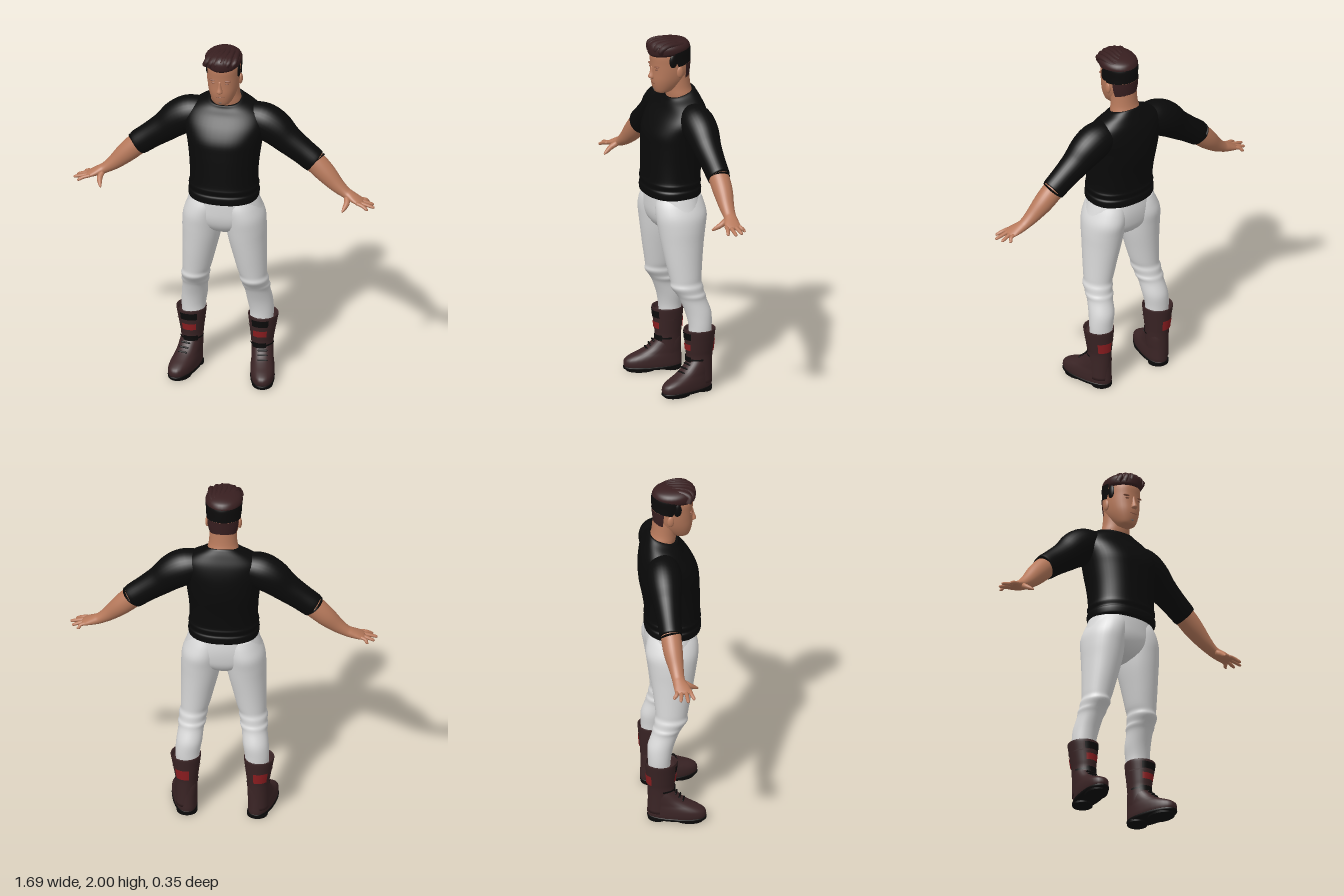
import * as THREE from 'three';

const mat = (name, color, side = THREE.FrontSide) => {
  const m = new THREE.MeshStandardMaterial({ color, side });
  m.name = name;
  return m;
};

// Smooth skin over cross-sections [x, y, z, halfWidth, halfDepth, forwardSlope].
// Rings lie flat, or square to the path when `along` is set. `arc` limits the angle (front = PI / 2).
function loft(sections, { along = false, arc = null, n = 2, seg = 32, steps = 4 } = {}) {
  const spline = (f) => new THREE.CatmullRomCurve3(sections.map(f), false, 'catmullrom', 0.5);
  const centre = spline((s) => new THREE.Vector3(s[0], s[1], s[2]));
  const size = spline((s) => new THREE.Vector3(s[3], s[4], s[5] || 0));
  const rows = (sections.length - 1) * steps, cols = arc ? seg + 1 : seg;
  const [a0, a1] = arc || [0, Math.PI * 2];
  const pos = [], index = [];
  const bend = (v) => Math.sign(v) * Math.abs(v) ** (2 / n);
  for (let i = 0; i <= rows; i++) {
    const c = centre.getPoint(i / rows), r = size.getPoint(i / rows);
    const t = along ? centre.getTangent(i / rows) : new THREE.Vector3(0, 1, 0);
    const v = new THREE.Vector3(0, 0, 1).addScaledVector(t, -t.z).normalize();
    const u = t.clone().cross(v);
    for (let j = 0; j < cols; j++) {
      const a = a0 + (a1 - a0) * j / seg;
      const du = r.x * bend(Math.cos(a)), dv = r.y * bend(Math.sin(a));
      const p = c.clone().addScaledVector(u, du).addScaledVector(v, dv);
      pos.push(p.x, p.y - r.z * dv, p.z);
    }
  }
  for (let i = 0; i < rows; i++) for (let j = 0; j < seg; j++) {
    const k = (j + 1) % cols, a = i * cols + j, b = i * cols + k;
    index.push(a, a + cols, b, b, a + cols, b + cols);
  }
  if (!arc) for (const end of [0, 1]) {
    const c = centre.getPoint(end), id = pos.length / 3, base = end * rows * cols;
    pos.push(c.x, c.y, c.z);
    for (let j = 0; j < cols; j++) {
      const a = base + j, b = base + (j + 1) % cols;
      index.push(id, ...(end ? [b, a] : [a, b]));
    }
  }
  const g = new THREE.BufferGeometry();
  g.setAttribute('position', new THREE.Float32BufferAttribute(pos, 3));
  g.setIndex(index);
  g.computeVertexNormals();
  return g;
}

function ball(x, y, z, rx, ry, rz) {
  return new THREE.SphereGeometry(1, 20, 14).scale(rx, ry, rz).translate(x, y, z);
}

function mirrored(geometry) {
  const g = geometry.clone().scale(-1, 1, 1);
  const ix = g.index.array;
  for (let i = 0; i < ix.length; i += 3) [ix[i + 1], ix[i + 2]] = [ix[i + 2], ix[i + 1]];
  g.computeVertexNormals();
  return g;
}

export function createModel() {
  const model = new THREE.Group();
  model.name = 'man';
  const skin = mat('skin', 0xb87a5c), cloth = mat('black cloth', 0x0a0a0a);
  const white = mat('white trousers', 0xdadada), leather = mat('brown leather', 0x3a2425);
  const black = mat('black', 0x0c0b0b, THREE.DoubleSide), red = mat('red patch', 0x8c1d20, THREE.DoubleSide);
  const hair = mat('brown hair', 0x381f20, THREE.DoubleSide), grey = mat('grey stubble', 0x7c7774);
  const shade = mat('brow skin', 0x8f5a45);

  const add = (name, geometry, material) => {
    const m = new THREE.Mesh(geometry, material);
    m.name = name;
    model.add(m);
  };
  const pair = (name, geometry, material) => {
    add(name + 'Left', geometry, material);
    add(name + 'Right', mirrored(geometry), material);
  };

  // Sweater body, with folds at the hem and a collar lower at the front
  add('sweater', loft([
    [0, 1.105, 0.01, 0.186, 0.148], [0, 1.115, 0.01, 0.193, 0.155], [0, 1.145, 0.01, 0.195, 0.156],
    [0, 1.16, 0.01, 0.188, 0.151], [0, 1.185, 0.01, 0.193, 0.155], [0, 1.21, 0.01, 0.187, 0.152],
    [0, 1.3, 0.003, 0.189, 0.157], [0, 1.4, -0.008, 0.2, 0.165], [0, 1.47, -0.014, 0.212, 0.164],
    [0, 1.54, -0.03, 0.228, 0.145], [0, 1.6, -0.045, 0.215, 0.118, 0.05], [0, 1.64, -0.045, 0.168, 0.1, 0.15],
    [0, 1.665, -0.043, 0.12, 0.088, 0.25], [0, 1.68, -0.04, 0.092, 0.08, 0.3], [0, 1.675, -0.04, 0.08, 0.068, 0.3],
  ], { n: 2.3, seg: 48 }), cloth);

  // Arms
  pair('sleeve', loft([
    [0.12, 1.575, -0.055, 0.075, 0.08], [0.2, 1.55, -0.055, 0.1, 0.095], [0.27, 1.51, -0.055, 0.1, 0.092],
    [0.34, 1.45, -0.052, 0.084, 0.078], [0.42, 1.39, -0.05, 0.074, 0.067], [0.49, 1.337, -0.048, 0.07, 0.062],
    [0.497, 1.332, -0.048, 0.062, 0.055],
  ], { along: true }), cloth);
  pair('forearm', loft([
    [0.45, 1.365, -0.048, 0.058, 0.054], [0.5, 1.325, -0.047, 0.061, 0.056], [0.56, 1.268, -0.042, 0.056, 0.053],
    [0.62, 1.21, -0.033, 0.042, 0.042], [0.67, 1.172, -0.027, 0.03, 0.035], [0.7, 1.157, -0.022, 0.026, 0.037],
    [0.735, 1.143, -0.012, 0.02, 0.044], [0.765, 1.132, -0.006, 0.013, 0.043], [0.775, 1.129, -0.005, 0.006, 0.034],
  ], { along: true }), skin);
  // Fingers: base z, tip x, tip z
  [[-0.038, 0.8, -0.058], [-0.016, 0.83, -0.026], [0.007, 0.842, 0.012], [0.029, 0.815, 0.046]].forEach(([z0, x, z1], i) => {
    pair('finger' + (i + 1), loft([
      [0.745, 1.139, z0, 0.009, 0.01], [0.78, 1.13, z0 * 0.6 + z1 * 0.4, 0.01, 0.011],
      [x - 0.01, 1.117, z1, 0.008, 0.009], [x, 1.113, z1, 0.003, 0.003],
    ], { along: true, seg: 12 }), skin);
  });
  pair('thumb', loft([
    [0.685, 1.152, 0, 0.015, 0.016], [0.692, 1.135, 0.03, 0.016, 0.015],
    [0.684, 1.115, 0.062, 0.011, 0.011], [0.676, 1.103, 0.082, 0.004, 0.004],
  ], { along: true, seg: 14 }), skin);

  // Trousers
  add('trouserSeat', loft([
    [0, 0.885, -0.005, 0.03, 0.04], [0, 0.91, -0.004, 0.1, 0.09], [0, 0.95, -0.002, 0.19, 0.122],
    [0, 1, 0, 0.22, 0.137], [0, 1.06, 0, 0.205, 0.142], [0, 1.13, 0.003, 0.183, 0.14],
  ], { n: 2.2, seg: 40 }), white);
  pair('trouserLeg', loft([
    [0.19, 0.32, -0.08, 0.064, 0.06], [0.19, 0.38, -0.08, 0.067, 0.064], [0.182, 0.45, -0.072, 0.071, 0.072],
    [0.174, 0.52, -0.047, 0.07, 0.074], [0.17, 0.55, -0.036, 0.077, 0.079], [0.168, 0.57, -0.025, 0.074, 0.082],
    [0.164, 0.6, -0.013, 0.079, 0.091], [0.16, 0.625, -0.01, 0.075, 0.087], [0.154, 0.66, -0.008, 0.081, 0.091],
    [0.142, 0.75, -0.004, 0.092, 0.105], [0.129, 0.85, -0.002, 0.104, 0.121], [0.122, 0.93, -0.002, 0.111, 0.134],
    [0.115, 1, -0.003, 0.111, 0.145], [0.1, 1.06, 0, 0.103, 0.14], [0.088, 1.11, 0, 0.09, 0.125],
  ]), white);

  // Boot shafts, with a lip that turns inside
  const shaft = [
    [0.2, 0.05, -0.073, 0.055, 0.07], [0.197, 0.12, -0.07, 0.059, 0.074], [0.196, 0.2, -0.072, 0.061, 0.074],
    [0.197, 0.24, -0.072, 0.066, 0.078], [0.199, 0.3, -0.072, 0.075, 0.083], [0.201, 0.355, -0.072, 0.083, 0.088],
  ];
  pair('bootShaft', loft([...shaft, [0.201, 0.358, -0.072, 0.077, 0.082], [0.199, 0.335, -0.073, 0.068, 0.073]]), leather);
  // Curved plate that follows the shaft
  const shaftAt = (y) => {
    const i = Math.max(1, shaft.findIndex((s) => s[1] >= y)), a = shaft[i - 1], b = shaft[i];
    const s = a.map((v, k) => THREE.MathUtils.lerp(v, b[k], (y - a[1]) / (b[1] - a[1])));
    return [s[0], y, s[2], s[3] + 0.004, s[4] + 0.004];
  };
  const plate = (name, y0, y1, mid, half, material) => pair(name, loft(
    [y0, (y0 + y1) / 2, y1].map(shaftAt), { arc: [mid - half, mid + half], seg: 14 }), material);
  plate('frontPatch', 0.243, 0.28, Math.PI / 2, 0.55, red);
  plate('backPatch', 0.23, 0.29, -Math.PI / 2 + 0.25, 0.55, red);
  plate('topTab', 0.305, 0.345, Math.PI / 2, 0.6, black);
  plate('ankleTab', 0.175, 0.205, Math.PI / 2 + 0.1, 0.65, black);
  plate('ankleStrap', 0.184, 0.194, Math.PI / 2, 1.5, black);
  plate('topSeam', 0.295, 0.301, 0, Math.PI, leather);

  // Feet, toed out: height, front, back, half width
  const footRings = (rows) => rows.map(([y, f, b, w]) => [0, y, (f + b) / 2, w, (f - b) / 2]);
  const toeOut = (g) => g.rotateY(0.22).translate(0.197, 0, -0.07);
  pair('bootFoot', toeOut(loft(footRings([
    [0.018, 0.24, -0.076, 0.062], [0.04, 0.247, -0.078, 0.066], [0.065, 0.24, -0.077, 0.066], [0.085, 0.21, -0.076, 0.064],
    [0.105, 0.165, -0.075, 0.061], [0.13, 0.118, -0.074, 0.06], [0.165, 0.08, -0.073, 0.058], [0.19, 0.06, -0.07, 0.054],
  ]), { n: 2.3 })), leather);
  pair('bootSole', toeOut(loft(footRings([
    [0.01, 0.235, -0.072, 0.06], [0.013, 0.246, -0.077, 0.066], [0.024, 0.248, -0.078, 0.067], [0.028, 0.24, -0.074, 0.062],
  ]), { n: 2.3 })), black);
  pair('bootHeel', toeOut(new THREE.CylinderGeometry(0.058, 0.056, 0.016, 28).translate(0, 0.008, -0.018)), black);
  pair('bootTread', toeOut(new THREE.CylinderGeometry(0.06, 0.058, 0.012, 28).scale(1, 1, 1.4).translate(0, 0.006, 0.15)), black);
  for (let i = 0; i < 3; i++) {
    pair('lace' + (i + 1), toeOut(new THREE.CapsuleGeometry(0.005, 0.045, 3, 8).rotateZ(Math.PI / 2)
      .translate(0, 0.126 + i * 0.02, 0.122 - i * 0.02)), black);
  }

  // Neck and head
  add('neck', loft([
    [0, 1.6, -0.055, 0.09, 0.07], [0, 1.67, -0.045, 0.086, 0.074], [0, 1.72, -0.035, 0.077, 0.069], [0, 1.82, -0.025, 0.074, 0.07],
  ]), skin);
  add('head', loft([
    [0, 1.688, 0.06, 0.022, 0.025], [0, 1.695, 0.055, 0.045, 0.046], [0, 1.725, 0.038, 0.064, 0.075],
    [0, 1.765, 0.022, 0.079, 0.098], [0, 1.81, 0.012, 0.087, 0.108], [0, 1.86, 0.01, 0.089, 0.112],
    [0, 1.91, 0.012, 0.088, 0.112], [0, 1.95, 0.01, 0.074, 0.095], [0, 1.972, 0.01, 0.04, 0.055],
  ], { n: 2.2 }), skin);
  add('nose', loft([
    [0, 1.773, 0.115, 0.014, 0.012], [0, 1.783, 0.122, 0.018, 0.02], [0, 1.81, 0.115, 0.011, 0.018], [0, 1.845, 0.112, 0.008, 0.012],
  ], { seg: 14 }), skin);
  add('mouth', ball(0, 1.748, 0.112, 0.026, 0.005, 0.007), shade);
  add('chinStubble', ball(0, 1.713, 0.093, 0.022, 0.012, 0.017), grey);
  pair('brow', ball(0.038, 1.848, 0.108, 0.024, 0.006, 0.011), shade);
  pair('eye', ball(0.037, 1.832, 0.11, 0.014, 0.005, 0.008), shade);
  pair('ear', ball(0.089, 1.815, -0.012, 0.011, 0.032, 0.019).rotateY(-0.05), skin);

  // Hair: cropped back and sides, with swept locks on top
  const backArc = [-Math.PI - 0.1, 0.1];
  add('napeHair', loft([
    [0, 1.77, -0.025, 0.077, 0.072, 0.15], [0, 1.81, -0.018, 0.088, 0.083, 0.15], [0, 1.85, -0.012, 0.092, 0.093, 0.15],
  ], { arc: [-Math.PI + 0.35, -0.35] }), hair);
  add('sideHair', loft([
    [0, 1.85, -0.008, 0.094, 0.096, 0.15], [0, 1.89, 0.01, 0.098, 0.115], [0, 1.93, 0.012, 0.1, 0.117], [0, 1.95, 0.012, 0.096, 0.112],
  ], { arc: backArc }), black);
  pair('sideburn', ball(0.084, 1.883, 0.03, 0.013, 0.04, 0.024), black);
  add('topHair', loft([
    [0, 1.915, 0.018, 0.088, 0.112, 0.08], [0, 1.93, 0.018, 0.1, 0.12, 0.08], [0, 1.955, 0.02, 0.101, 0.119, 0],
    [0, 1.975, 0.02, 0.086, 0.106, -0.02], [0, 1.988, 0.02, 0.055, 0.075, -0.03], [0, 1.992, 0.02, 0.02, 0.03],
  ]), hair);
  for (let i = 0; i < 6; i++) {
    const x = -0.075 + i * 0.03, h = 1.975 - 1.6 * x * x;
    const path = new THREE.CatmullRomCurve3([
      [x - 0.012, 1.925, 0.118 - 5 * x * x], [x, h - 0.012, 0.122 - 4 * x * x],
      [x * 0.9 + 0.01, h + 0.007, 0.06], [x * 0.7 + 0.015, h, -0.02], [x * 0.5, h - 0.012, -0.065],
    ].map((p) => new THREE.Vector3(...p)));
    add('lock' + (i + 1), new THREE.TubeGeometry(path, 18, 0.0165, 8), hair);
  }
  return model;
}
